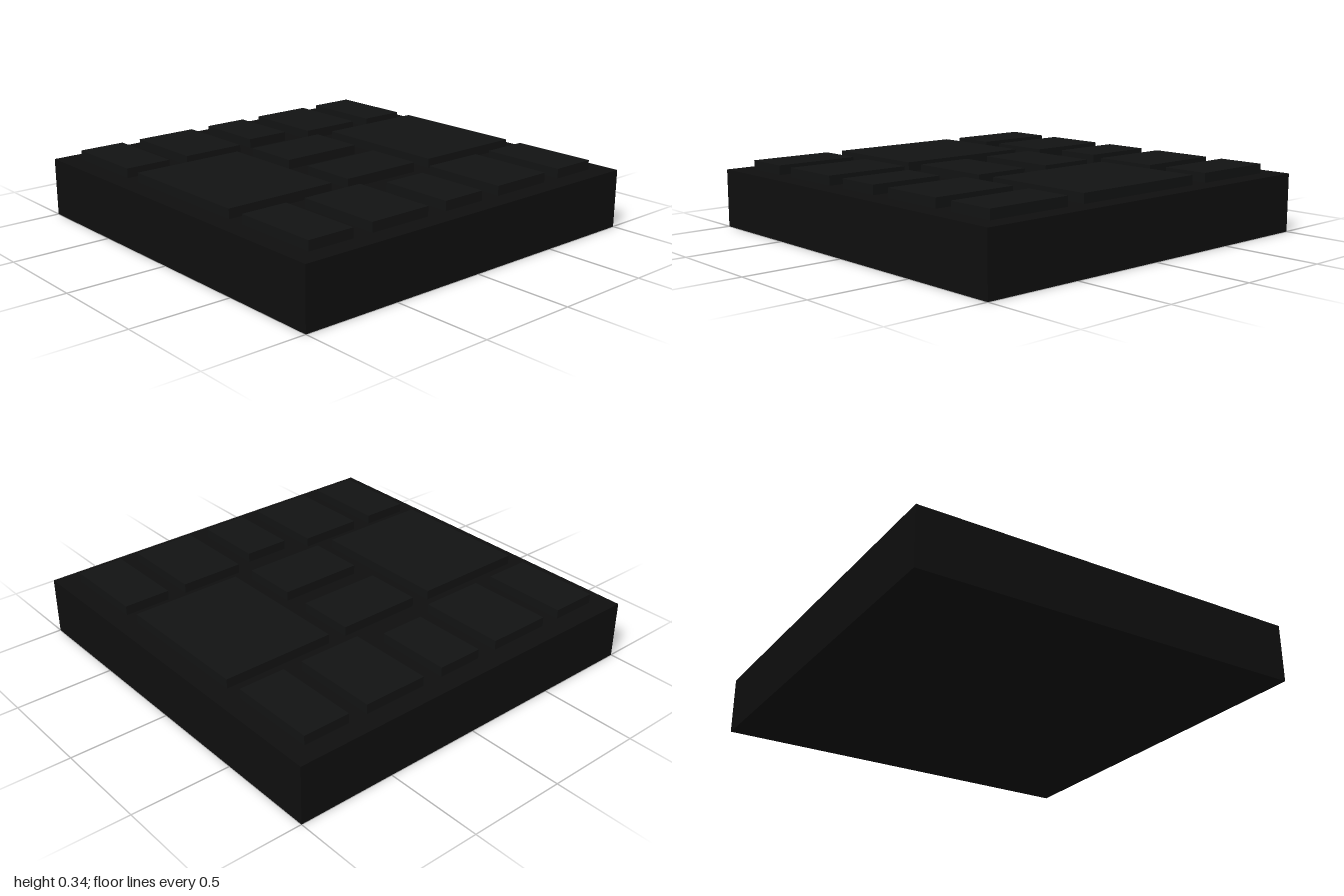
import * as THREE from 'three';

const BASE_TOP = 0.295;
const PLATE_TOP = 0.343;

export function createModel() {
  const model = new THREE.Group();
  model.name = 'panelledTile';
  const baseMaterial = new THREE.MeshStandardMaterial({ color: 0x0e0e0e });
  const plateMaterial = new THREE.MeshStandardMaterial({ color: 0x121313 });

  // Box given by its limits on each axis
  function addBlock(name, material, x0, x1, y0, y1, z0, z1) {
    const mesh = new THREE.Mesh(new THREE.BoxGeometry(x1 - x0, y1 - y0, z1 - z0), material);
    mesh.position.set((x0 + x1) / 2, (y0 + y1) / 2, (z0 + z1) / 2);
    mesh.name = name;
    model.add(mesh);
  }
  const addPlate = (name, x0, x1, z0, z1) =>
    addBlock(name, plateMaterial, x0, x1, BASE_TOP, PLATE_TOP, z0, z1);

  // Solid square slab
  addBlock('base', baseMaterial, -1, 1, 0, BASE_TOP, -1, 1);

  // Large raised plates, back and front
  addPlate('largePlateBack', -0.365, 0.365, -0.9, -0.32);
  addPlate('largePlateFront', -0.365, 0.365, 0.315, 0.9);

  // Inner pair and side columns, mirrored left and right: [name, inner x, outer x, z0, z1]
  const plates = [
    ['innerPlate', 0.07, 0.365, -0.22, 0.215],
    ['cornerPlateBack', 0.46, 0.9, -0.9, -0.66],
    ['sidePlateBack', 0.46, 0.9, -0.56, -0.23],
    ['sidePlateMiddle', 0.52, 0.9, -0.12, 0.115],
    ['sidePlateFront', 0.46, 0.9, 0.225, 0.555],
    ['cornerPlateFront', 0.46, 0.9, 0.66, 0.9],
  ];
  for (const [name, inner, outer, z0, z1] of plates) {
    addPlate(name + 'Left', inner, outer, z0, z1);
    addPlate(name + 'Right', -outer, -inner, z0, z1);
  }

  return model;
}
